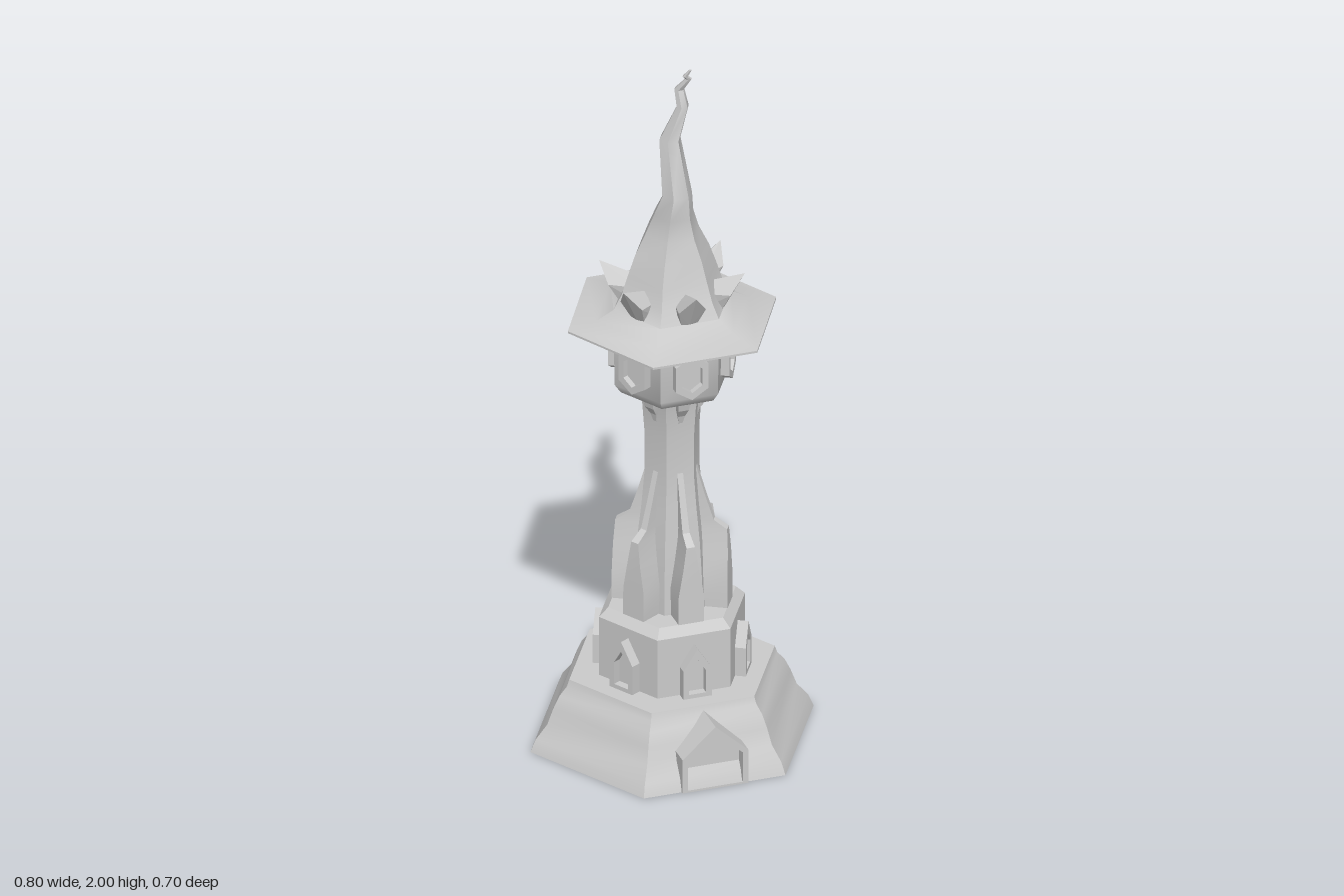
import * as THREE from 'three';
import { toCreasedNormals } from 'three/addons/utils/BufferGeometryUtils.js';
import { ConvexGeometry } from 'three/addons/geometries/ConvexGeometry.js';

const material = new THREE.MeshStandardMaterial({ color: 0xcccccc });
const V = (x, y, z) => new THREE.Vector3(x, y, z);

function mesh(name, geometry) {
  const m = new THREE.Mesh(geometry, material);
  m.name = name;
  return m;
}

// Skin equal-length cross-sections from bottom to top and cap both ends
function loft(sections, crease = 0.6) {
  const pos = [];
  const tri = (...pts) => pts.forEach((p) => pos.push(p.x, p.y, p.z));
  const n = sections[0].length;
  const middle = (s) => s.reduce((a, p) => a.add(p), V(0, 0, 0)).divideScalar(n);
  const last = sections[sections.length - 1];
  for (let i = 0; i < n; i++) {
    const j = (i + 1) % n;
    for (let k = 0; k < sections.length - 1; k++) {
      const a = sections[k], b = sections[k + 1];
      tri(a[i], b[i], a[j]);
      tri(a[j], b[i], b[j]);
    }
    tri(middle(sections[0]), sections[0][i], sections[0][j]);
    tri(middle(last), last[j], last[i]);
  }
  const g = new THREE.BufferGeometry();
  g.setAttribute('position', new THREE.Float32BufferAttribute(pos, 3));
  return toCreasedNormals(g, crease);
}

// Six-sided body from rings [y, radius, centreX, centreZ, stretchZ]
function hexBody(name, rings) {
  return mesh(name, loft(rings.map(([y, r, cx = 0, cz = 0, sz = 1]) =>
    Array.from({ length: 6 }, (_, i) => {
      const a = (i * Math.PI) / 3;
      return V(cx + r * Math.cos(a), y, cz + r * Math.sin(a) * sz);
    }))));
}

// Fin facing +z from sections [y, halfWidth, inner, outer]
function fin(sections) {
  return loft(sections.map(([y, w, zi, zo]) =>
    [V(w, y, zo), V(-w, y, zo), V(-w, y, zi), V(w, y, zi)]), 0.3);
}

const outline = (pts) => pts.map(([x, y]) => new THREE.Vector2(x, y));

// Flat frame with an opening, reaching from z0 to z1
function frame(outer, inner, z0, z1) {
  const s = new THREE.Shape(outline(outer));
  s.holes.push(new THREE.Path(outline(inner)));
  return new THREE.ExtrudeGeometry(s, { depth: z1 - z0, bevelEnabled: false }).translate(0, 0, z0);
}

function pane(pts, z0, z1) {
  return new THREE.ExtrudeGeometry(new THREE.Shape(outline(pts)), { depth: z1 - z0, bevelEnabled: false })
    .translate(0, 0, z0);
}

// House-shaped outline: straight sides with a pointed top
const gable = (w, y0, y1, y2) => [[-w, y0], [w, y0], [w, y1], [0, y2], [-w, y1]];
// Tall six-sided outline
const gem = (w, h, y) => [[0, y - h], [w, y - h * 0.55], [w, y + h * 0.55], [0, y + h], [-w, y + h * 0.55], [-w, y - h * 0.55]];

export function createModel() {
  const group = new THREE.Group();
  group.name = 'tower';
  const body = new THREE.Group();
  body.name = 'towerBody';
  body.position.z = -0.004;
  group.add(body);

  // Stacked hexagonal masses
  body.add(
    hexBody('base', [[0, 0.4], [0.035, 0.385], [0.075, 0.352], [0.12, 0.335], [0.155, 0.318], [0.18, 0.297], [0.2, 0.29]]),
    hexBody('lowerTier', [[0.2, 0.206], [0.375, 0.206], [0.4, 0.18]]),
    hexBody('shaft', [[0.4, 0.11], [0.5, 0.105], [0.6, 0.098], [0.7, 0.086], [0.8, 0.077], [0.92, 0.078], [1.0, 0.084], [1.03, 0.09]]),
    hexBody('lookoutRoom', [[1.02, 0.085], [1.045, 0.145], [1.07, 0.162], [1.25, 0.165]]),
  );

  // Pointed hat roof with a wide brim and a crooked tip
  body.add(hexBody('hatRoof', [
    [1.228, 0.18, 0, 0, 1.03], [1.25, 0.294, 0, 0, 1.06], [1.256, 0.294, 0, 0, 1.06],
    [1.272, 0.215, 0, 0, 1.03], [1.298, 0.165], [1.34, 0.142], [1.39, 0.126, 0, 0, 0.96],
    [1.45, 0.105, 0, 0, 1], [1.51, 0.076, 0, 0, 1.1], [1.57, 0.056, 0, 0.012, 1.1], [1.64, 0.042, 0, 0.042, 0.9],
    [1.78, 0.03, 0, -0.017], [1.885, 0.017, 0.028, 0.006], [1.93, 0.014, 0.024, -0.01],
    [1.968, 0.009, 0.043, 0.012], [1.978, 0.008, 0.033, 0.014], [2.0, 0.004, 0.043, 0.025],
  ]));

  // Parts repeated on every face
  const parts = {
    buttress: fin([[0.4, 0.036, 0.05, 0.158], [0.48, 0.036, 0.05, 0.157], [0.56, 0.022, 0.05, 0.156],
      [0.625, 0.012, 0.05, 0.152], [0.65, 0.01, 0.05, 0.115], [0.72, 0.009, 0.05, 0.092], [0.81, 0.008, 0.05, 0.066]]),
    bracket: fin([[0.95, 0.003, 0.05, 0.067], [0.985, 0.01, 0.05, 0.077], [1.01, 0.015, 0.05, 0.094], [1.035, 0.017, 0.05, 0.1]]),
    lowerWindowFrame: frame(gable(0.04, 0.2, 0.285, 0.347), gable(0.024, 0.212, 0.278, 0.318), 0.16, 0.208),
    lowerWindowPane: pane(gable(0.025, 0.21, 0.278, 0.318), 0.16, 0.186),
    upperWindowFrame: frame(gem(0.046, 0.066, 1.145), gem(0.029, 0.045, 1.145), 0.125, 0.165),
    upperWindowPane: pane(gem(0.03, 0.046, 1.145), 0.125, 0.148),
    dormer: new ConvexGeometry([
      V(0, 1.4, 0.198), V(0, 1.365, 0.09), V(0, 1.293, 0.142),
      ...[-1, 1].flatMap((s) => [V(s * 0.024, 1.3, 0.142), V(s * 0.038, 1.348, 0.166),
        V(s * 0.026, 1.34, 0.085), V(s * 0.022, 1.295, 0.09)]),
    ]),
  };
  for (let i = 0; i < 6; i++) {
    const side = new THREE.Group();
    side.name = 'side' + (i + 1);
    side.rotation.y = (i * Math.PI) / 3;
    for (const [name, geometry] of Object.entries(parts)) side.add(mesh(name, geometry));
    body.add(side);
  }

  // Gabled doorway at the front
  group.add(mesh('doorway', frame(gable(0.093, 0, 0.1, 0.185), gable(0.078, 0.006, 0.094, 0.163), 0.25, 0.35)));
  group.add(mesh('door', pane(gable(0.079, 0.002, 0.094, 0.164), 0.25, 0.315)));
  return group;
}
